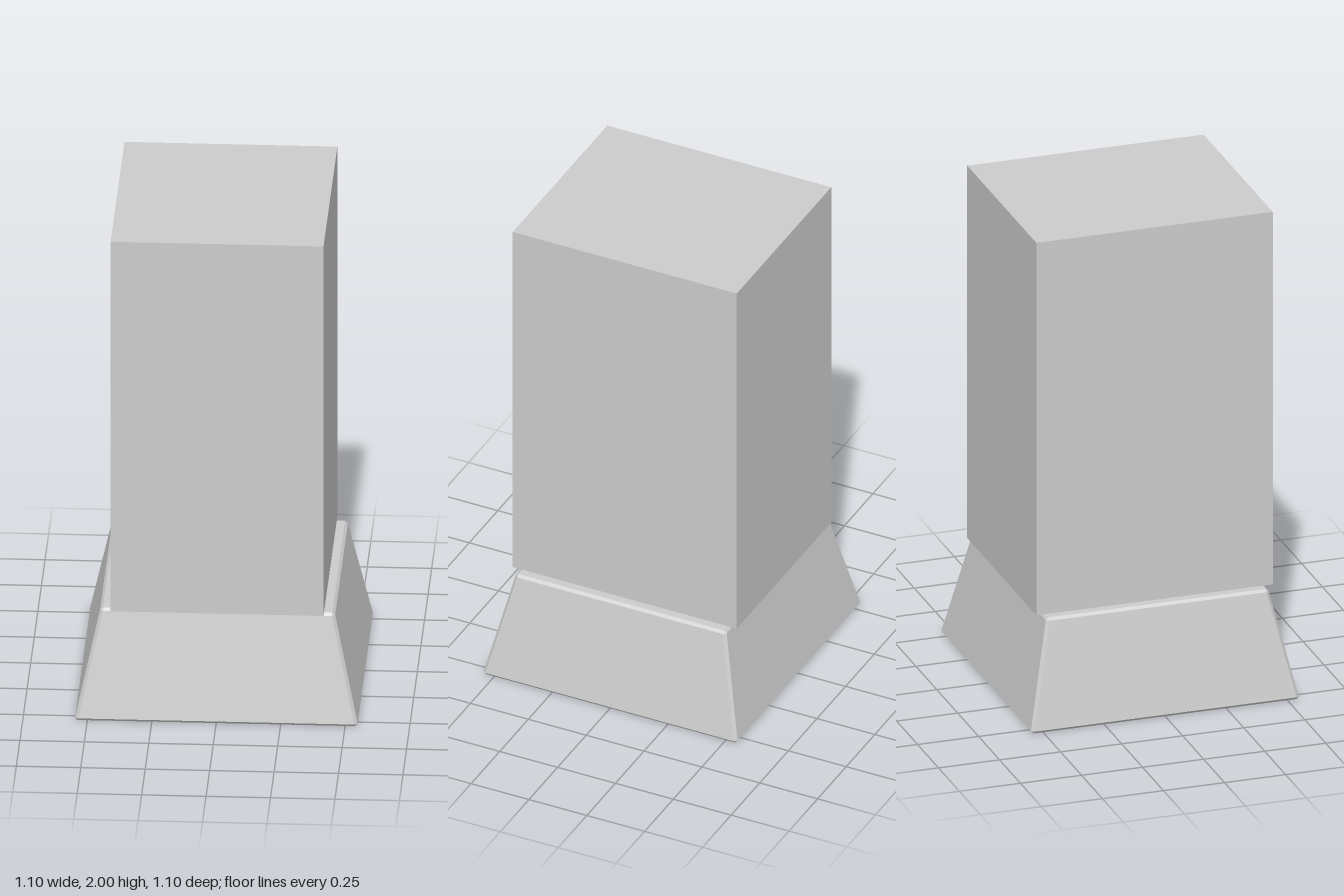
import * as THREE from 'three';

// Square ring with clipped corners: half width h, corner cut c, height y
function ring(h, c, y) {
  const k = h - c;
  return [[h, k], [h, -k], [k, -h], [-k, -h], [-h, -k], [-h, k], [-k, h], [k, h]]
    .map(([x, z]) => new THREE.Vector3(x, y, z));
}

// Joins rings from bottom to top into a closed, flat-shaded solid
function loft(rings) {
  const points = [];
  const n = rings[0].length;
  for (let r = 0; r < rings.length - 1; r++) {
    for (let i = 0; i < n; i++) {
      const j = (i + 1) % n;
      const [a, b, c, d] = [rings[r][i], rings[r][j], rings[r + 1][j], rings[r + 1][i]];
      points.push(a, b, c, a, c, d);
    }
  }
  const bottom = rings[0], top = rings[rings.length - 1];
  for (let i = 1; i < n - 1; i++) {
    points.push(top[0], top[i], top[i + 1], bottom[0], bottom[i + 1], bottom[i]);
  }
  const geometry = new THREE.BufferGeometry().setFromPoints(points);
  geometry.computeVertexNormals();
  return geometry;
}

export function createModel() {
  const group = new THREE.Group();
  group.name = 'pillar';

  const stone = new THREE.MeshStandardMaterial({ color: 0xcccccc });
  stone.name = 'light grey';

  // Tapered plinth with narrow bevels on all edges
  const base = new THREE.Mesh(loft([
    ring(0.54, 0.002, 0),
    ring(0.548, 0.012, 0.01),
    ring(0.456, 0.012, 0.427),
    ring(0.445, 0.002, 0.437),
  ]), stone);
  base.name = 'base';
  group.add(base);

  // Plain shaft, slightly deeper than the plinth top
  const shaft = new THREE.Mesh(new THREE.BoxGeometry(0.826, 1.562, 0.968), stone);
  shaft.name = 'shaft';
  shaft.position.y = 2 - 1.562 / 2;
  group.add(shaft);

  return group;
}
